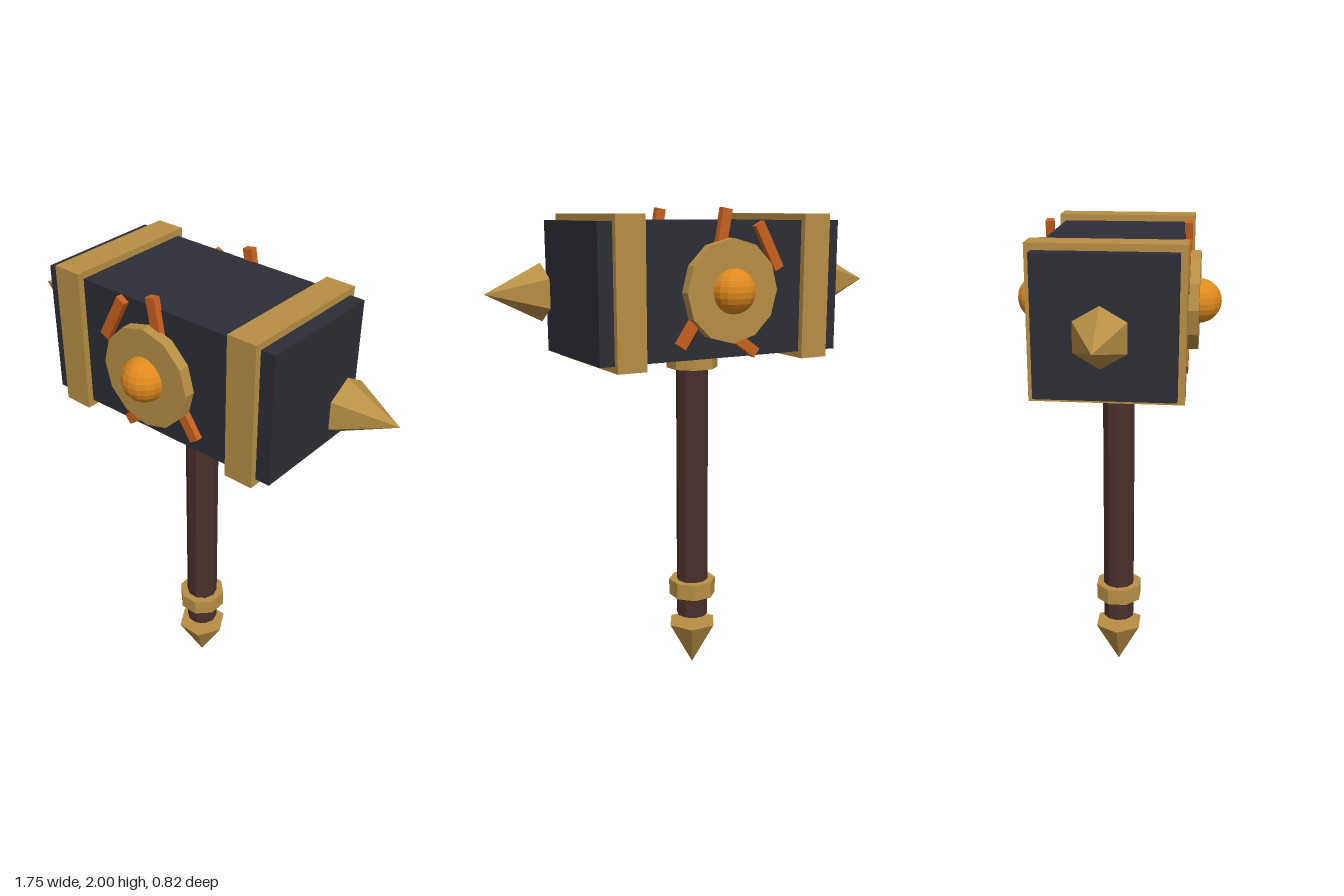
import * as THREE from 'three';

const paint = (name, color) => {
  const m = new THREE.MeshStandardMaterial({ color, flatShading: true });
  m.name = name;
  return m;
};

export function createModel() {
  const iron = paint('darkIron', 0x2d2d36);
  const brass = paint('brass', 0xb88f45);
  const wood = paint('darkWood', 0x4a302c);
  const ember = paint('emberOrange', 0xc8601f);
  const amber = paint('amber', 0xe08a1e);

  const model = new THREE.Group();
  model.name = 'warHammer';
  const add = (name, geo, mat, x, y, z) => {
    const mesh = new THREE.Mesh(geo, mat);
    mesh.name = name;
    mesh.position.set(x, y, z);
    model.add(mesh);
    return mesh;
  };
  const headY = 1.687;

  // Handle with its collar, grip ring and pommel point
  add('handle', new THREE.CylinderGeometry(0.068, 0.068, 1.2, 10).rotateY(Math.PI / 2), wood, 0, 0.84, 0);
  add('collar', new THREE.CylinderGeometry(0.107, 0.107, 0.08, 8).rotateY(Math.PI / 8), brass, 0, 1.39, 0);
  add('gripRing', new THREE.CylinderGeometry(0.102, 0.102, 0.07, 8).rotateY(Math.PI / 8), brass, 0, 0.37, 0);
  add('pommelPoint', new THREE.ConeGeometry(0.11, 0.2, 6).rotateY(Math.PI / 2).rotateX(Math.PI), brass, 0, 0.1, 0);

  // Hammer head
  add('head', new THREE.BoxGeometry(1.07, 0.526, 0.526), iron, 0, headY, 0);

  // Bands and end spikes, mirrored left and right
  for (const s of [1, -1]) {
    add('headBand', new THREE.BoxGeometry(0.122, 0.578, 0.578), brass, s * 0.414, headY, 0);
    const spike = new THREE.ConeGeometry(0.11, 0.222, 6).rotateY(Math.PI / 2).rotateZ(-s * Math.PI / 2);
    add('endSpike', spike, brass, s * 0.766, headY, 0);
  }

  // Rune bars: centre x, centre y, length, tilt from vertical (clockwise)
  const runes = [
    [-0.188, 1.852, 0.2, 0.5],
    [0.021, 1.907, 0.18, -0.18],
    [0.168, 1.536, 0.133, -0.6],
    [-0.094, 1.465, 0.1, 0.95],
  ];

  // Medallion, orb and runes on both faces
  for (const s of [1, -1]) {
    add('medallion', new THREE.CylinderGeometry(0.2, 0.2, 0.045, 12).rotateX(Math.PI / 2), brass, 0, headY, s * 0.303);
    add('orb', new THREE.SphereGeometry(0.0875, 16, 12), amber, 0, headY, s * 0.325);
    for (const [x, y, length, tilt] of runes) {
      add('rune', new THREE.BoxGeometry(0.042, length, 0.03), ember, x, y, s * 0.274).rotation.z = -tilt;
    }
  }
  return model;
}
